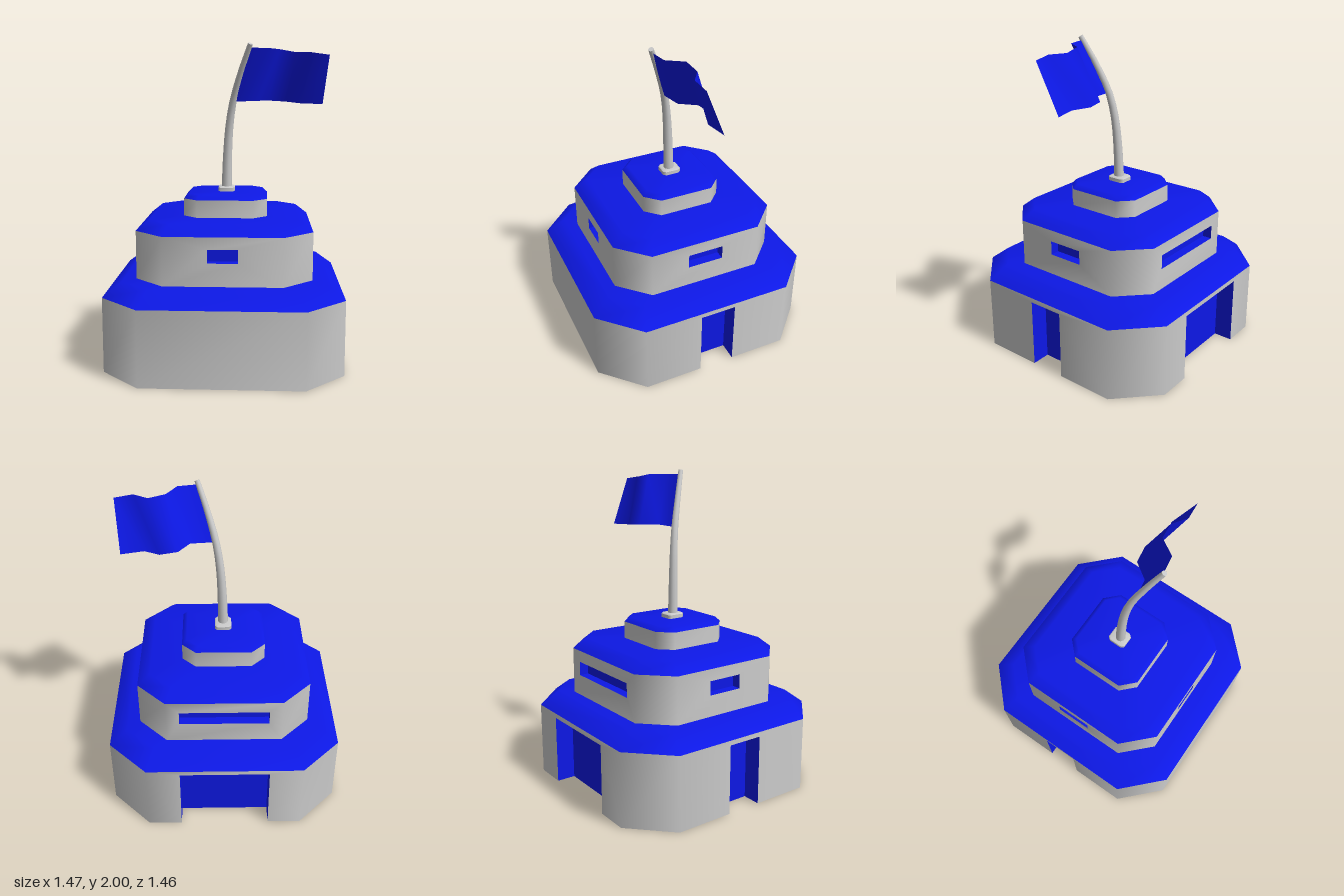
import * as THREE from 'three';
import { mergeGeometries, mergeVertices } from 'three/addons/utils/BufferGeometryUtils.js';

const grey = new THREE.MeshStandardMaterial({ color: 0xcccccc, side: THREE.DoubleSide });
const blue = new THREE.MeshStandardMaterial({ color: 0x0d18e6, side: THREE.DoubleSide });

function addMesh(parent, name, geometry, material) {
  const mesh = new THREE.Mesh(geometry, material);
  mesh.name = name;
  parent.add(mesh);
  return mesh;
}

// Indexed geometry with smooth normals
function surface(points, index) {
  const g = new THREE.BufferGeometry();
  g.setAttribute('position', new THREE.Float32BufferAttribute(points, 3));
  g.setIndex(index);
  g.computeVertexNormals();
  return g;
}

// Chamfered square as [x, z], starting on the front side
function octagon(hx, hz, cx, cz) {
  return [[-cx, hz], [cx, hz], [hx, cz], [hx, -cz], [cx, -hz], [-cx, -hz], [-hx, -cz], [-hx, cz]];
}

// Placement of a wall panel running from p to q, facing outwards
function panelMatrix(p, q) {
  const u = new THREE.Vector3(q[0] - p[0], 0, q[1] - p[1]).normalize();
  const up = new THREE.Vector3(0, 1, 0);
  return new THREE.Matrix4().makeBasis(u, up, u.clone().cross(up))
    .setPosition((p[0] + q[0]) / 2, 0, (p[1] + q[1]) / 2);
}

// Wall panel with an optional doorway (reaching the ground) or window
function panel(width, y0, y1, o) {
  const w = width / 2;
  const pts = [[-w, y0]];
  if (o && o.door) pts.push([-o.w, y0], [-o.w, o.y1], [o.w, o.y1], [o.w, y0]);
  pts.push([w, y0], [w, y1], [-w, y1]);
  const shape = new THREE.Shape(pts.map(([x, y]) => new THREE.Vector2(x, y)));
  if (o && !o.door) {
    shape.holes.push(new THREE.Path([[-o.w, o.y0], [-o.w, o.y1], [o.w, o.y1], [o.w, o.y0]]
      .map(([x, y]) => new THREE.Vector2(x, y))));
  }
  const g = new THREE.ShapeGeometry(shape);
  g.deleteAttribute('uv');
  g.deleteAttribute('normal');
  return g;
}

// Box open at the front, and at the bottom for a doorway
function recess(o) {
  const g = new THREE.BoxGeometry(o.w * 2, o.y1 - o.y0, o.depth);
  const faces = Array.from(g.index.array);
  g.setIndex(o.door ? [...faces.slice(0, 18), ...faces.slice(30)]
    : [...faces.slice(0, 24), ...faces.slice(30)]);
  g.clearGroups();
  return g.translate(0, (o.y0 + o.y1) / 2, -o.depth / 2);
}

// One storey: walls, bevelled roof and recessed openings keyed by side index
function storey(name, s) {
  const group = new THREE.Group();
  group.name = name;
  const ring = octagon(s.hx, s.hz, s.cx, s.cz);
  const panels = ring.map((p, i) => {
    const q = ring[(i + 1) % 8];
    const m = panelMatrix(p, q);
    const o = s.openings && s.openings[i];
    if (o) addMesh(group, o.door ? 'doorRecess' : 'windowRecess', recess(o).applyMatrix4(m), blue);
    return panel(Math.hypot(q[0] - p[0], q[1] - p[1]), s.y0, s.y1, o).applyMatrix4(m);
  });
  const walls = mergeVertices(mergeGeometries(panels), 1e-4);
  walls.computeVertexNormals();
  addMesh(group, 'walls', walls, grey);

  const k = s.inset * 0.414;
  const top = octagon(s.hx - s.inset, s.hz - s.inset, s.cx - k, s.cz - k);
  const points = [], index = [];
  ring.forEach(([x, z]) => points.push(x, s.y1, z));
  top.forEach(([x, z]) => points.push(x, s.y2, z));
  points.push(0, s.y2, 0);
  for (let i = 0; i < 8; i++) {
    const j = (i + 1) % 8;
    index.push(i, j, j + 8, i, j + 8, i + 8, i + 8, j + 8, 16);
  }
  addMesh(group, 'roof', surface(points, index), s.roof || blue);
  return group;
}

// Tapered round pole along a curve, with a closed tip
function poleGeometry(curve, r0, r1) {
  const rows = 12, sides = 10;
  const g = new THREE.TubeGeometry(curve, rows, 1, sides, false);
  const pos = g.attributes.position, v = new THREE.Vector3();
  for (let i = 0; i <= rows; i++) {
    const c = curve.getPointAt(i / rows);
    const r = THREE.MathUtils.lerp(r0, r1, i / rows);
    for (let j = 0; j <= sides; j++) {
      const n = i * (sides + 1) + j;
      v.fromBufferAttribute(pos, n).sub(c).multiplyScalar(r).add(c);
      pos.setXYZ(n, v.x, v.y, v.z);
    }
  }
  return g;
}

export function createModel() {
  const model = new THREE.Group();
  model.name = 'bunker';

  // Ground storey: doors on both sides, wide doorway at the back
  const door = { door: true, w: 0.115, y0: 0, y1: 0.44, depth: 0.12 };
  model.add(storey('groundStorey', {
    hx: 0.735, hz: 0.728, cx: 0.49, cz: 0.487, y0: 0, y1: 0.47, y2: 0.56, inset: 0.115,
    openings: { 2: door, 4: { ...door, w: 0.28 }, 6: door },
  }));

  // Middle storey: a window on each side, wide at the back
  const slot = { w: 0.115, y0: 0.695, y1: 0.785, depth: 0.06 };
  model.add(storey('middleStorey', {
    hx: 0.543, hz: 0.54, cx: 0.362, cz: 0.36, y0: 0.56, y1: 0.86, y2: 0.925, inset: 0.08,
    openings: { 0: { ...slot, w: 0.092, y0: 0.702 }, 2: slot, 4: { ...slot, w: 0.28 }, 6: slot },
  }));

  // Top block and the foot of the pole
  model.add(storey('topBlock', {
    hx: 0.263, hz: 0.258, cx: 0.176, cz: 0.172, y0: 0.925, y1: 1.035, y2: 1.065, inset: 0.03,
  }));
  model.add(storey('poleFoot', {
    hx: 0.053, hz: 0.06, cx: 0.037, cz: 0.042, y0: 1.065, y1: 1.088, y2: 1.095, inset: 0.008, roof: grey,
  }));

  // Bent flagpole
  const curve = new THREE.CatmullRomCurve3([
    [0, 1.08, 0.005], [0.006, 1.3, 0.012], [0.018, 1.48, 0.025],
    [0.042, 1.64, 0.052], [0.092, 1.82, 0.112], [0.153, 1.993, 0.182],
  ].map((p) => new THREE.Vector3(...p)));
  addMesh(model, 'flagpole', poleGeometry(curve, 0.033, 0.016), grey);
  const tip = addMesh(model, 'poleTip', new THREE.CircleGeometry(0.016, 10), grey);
  tip.position.copy(curve.getPointAt(1));
  tip.lookAt(tip.position.clone().add(curve.getTangentAt(1)));

  // Waving flag between its bottom and top edges
  const bottom = [[0.06, 1.64, 0.06], [0.2, 1.645, 0.037], [0.27, 1.645, -0.065],
    [0.38, 1.638, -0.085], [0.475, 1.628, -0.022], [0.617, 1.623, -0.05]];
  const top = [[0.145, 1.97, 0.175], [0.27, 1.968, 0.155], [0.335, 1.966, 0.05],
    [0.44, 1.948, 0.035], [0.53, 1.945, 0.096], [0.645, 1.93, 0.083]];
  const index = [];
  for (let i = 0; i < 5; i++) index.push(i, i + 1, i + 7, i, i + 7, i + 6);
  addMesh(model, 'flag', surface([...bottom, ...top].flat(), index), blue);

  return model;
}
